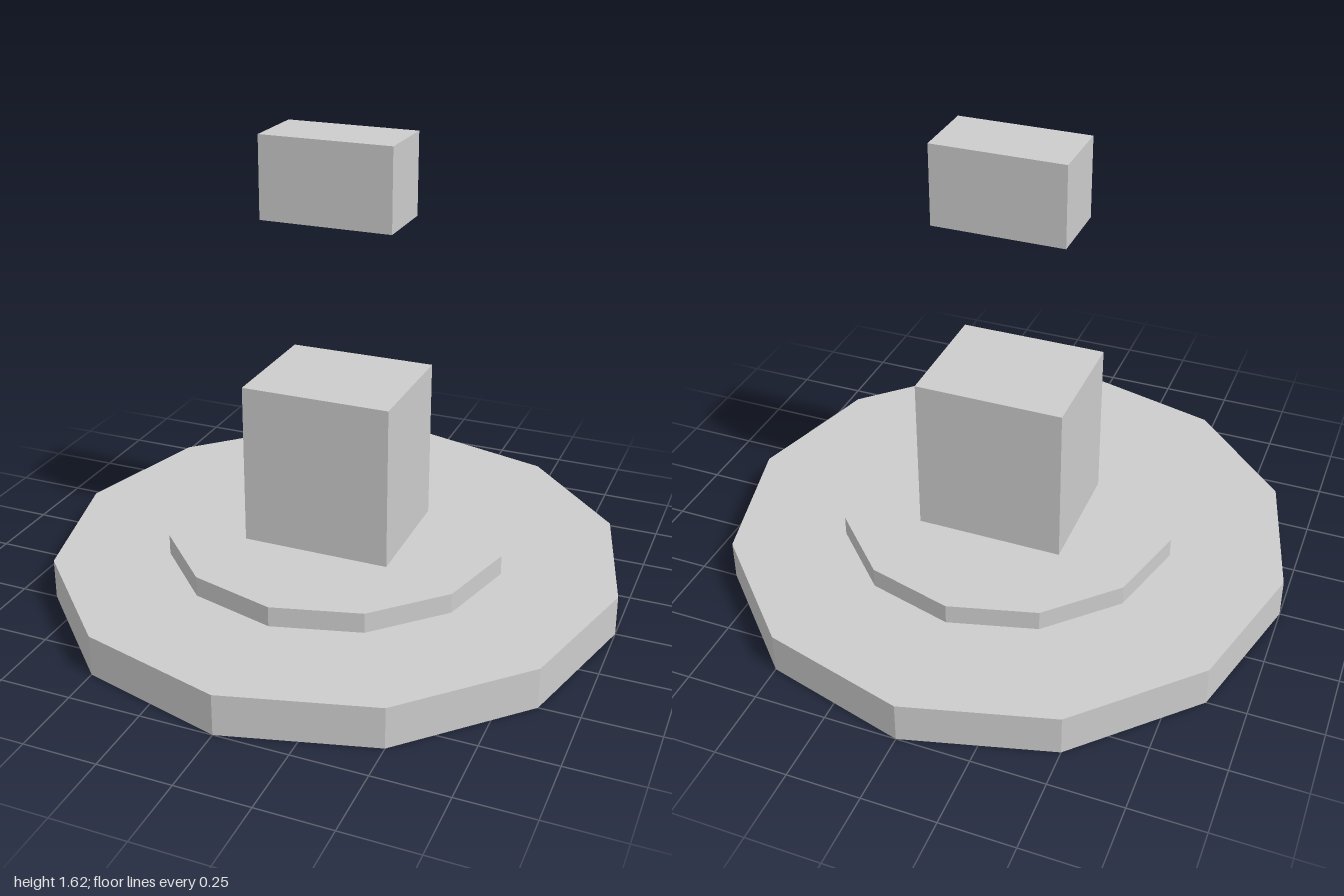
import * as THREE from 'three';

export function createModel() {
  const group = new THREE.Group();
  const stone = new THREE.MeshStandardMaterial({ color: 0xcccccc, flatShading: true });
  stone.name = 'light grey';

  // Places a part with its underside at the given height
  const add = (name, geometry, bottom, height) => {
    const mesh = new THREE.Mesh(geometry, stone);
    mesh.name = name;
    mesh.position.y = bottom + height / 2;
    group.add(mesh);
  };
  const disc = (name, radius, bottom, height) =>
    add(name, new THREE.CylinderGeometry(radius, radius, height, 12), bottom, height);
  const block = (name, width, depth, bottom, height) =>
    add(name, new THREE.BoxGeometry(width, height, depth), bottom, height);

  // Stepped twelve-sided base
  disc('lowerStep', 1, 0, 0.142);
  disc('upperStep', 0.597, 0.142, 0.07);

  // Pedestal and the block floating above it
  block('pedestal', 0.52, 0.435, 0.212, 0.568);
  block('floatingBlock', 0.456, 0.24, 1.335, 0.28);

  return group;
}
